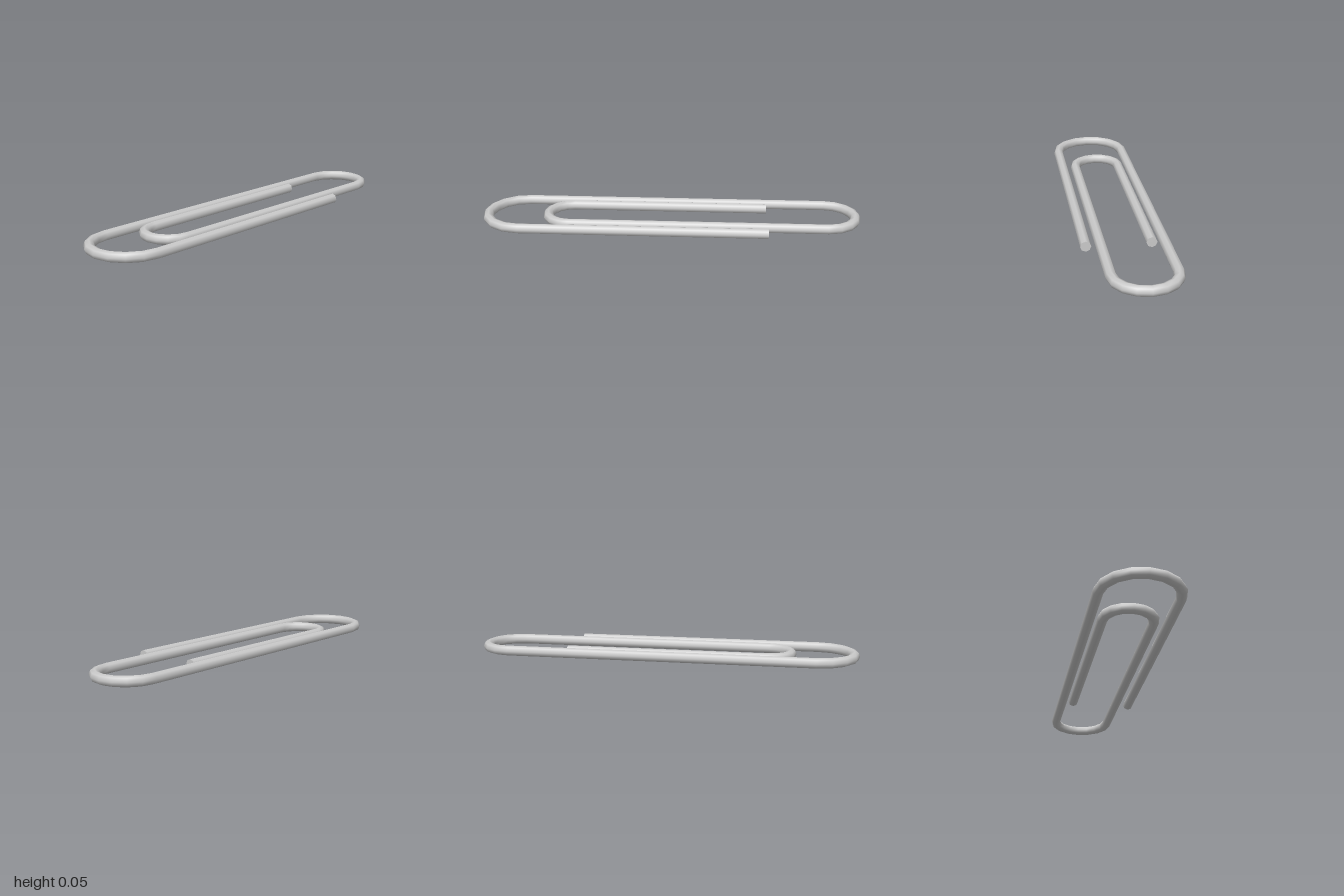
import * as THREE from 'three';

const WIRE = 0.0267;   // wire radius
const SIDES = 8;       // sides of the wire section
const STEPS = 8;       // segments per half-turn bend
const END_X = 0.507;   // where both free ends stop

// Half-turn bends in order along the wire: centre x, centre z, radius, start angle
const BENDS = [
  [-0.782, -0.0015, 0.1915, Math.PI / 2],
  [0.8185, -0.038, 0.155, Math.PI * 1.5],
  [-0.529, -0.007, 0.124, Math.PI / 2],
];

// Stations along the centre line; angle gives the sideways direction of the section
function wireStations() {
  const stations = [];
  for (const [cx, cz, r, start] of BENDS) {
    for (let i = 0; i <= STEPS; i++) {
      const angle = start + (Math.PI * i) / STEPS;
      stations.push({ x: cx + r * Math.cos(angle), z: cz + r * Math.sin(angle), angle });
    }
  }
  const first = stations[0], last = stations[stations.length - 1];
  return [{ ...first, x: END_X }, ...stations, { ...last, x: END_X }];
}

// Sweep the round section along the stations
function sweepWire(stations) {
  const positions = [], normals = [], index = [];
  const row = SIDES + 1;
  stations.forEach(({ x, z, angle }, i) => {
    for (let j = 0; j <= SIDES; j++) {
      const phi = (j / SIDES) * Math.PI * 2;
      const nx = Math.cos(phi) * Math.cos(angle);
      const ny = Math.sin(phi);
      const nz = Math.cos(phi) * Math.sin(angle);
      positions.push(x + WIRE * nx, WIRE + WIRE * ny, z + WIRE * nz);
      normals.push(nx, ny, nz);
      if (i < stations.length - 1 && j < SIDES) {
        const a = i * row + j, b = a + row;
        index.push(a, a + 1, b, b, a + 1, b + 1);
      }
    }
  });
  const geometry = new THREE.BufferGeometry();
  geometry.setAttribute('position', new THREE.Float32BufferAttribute(positions, 3));
  geometry.setAttribute('normal', new THREE.Float32BufferAttribute(normals, 3));
  geometry.setIndex(index);
  return geometry;
}

export function createModel() {
  const group = new THREE.Group();
  group.name = 'paperClip';
  const material = new THREE.MeshStandardMaterial({ color: 0xcccccc });

  const stations = wireStations();
  const wire = new THREE.Mesh(sweepWire(stations), material);
  wire.name = 'bentWire';
  group.add(wire);

  // Flat cut faces on the two free ends, both facing +x
  const capGeometry = new THREE.CircleGeometry(WIRE, SIDES).rotateY(Math.PI / 2);
  [['outerWireEnd', stations[0]], ['innerWireEnd', stations[stations.length - 1]]].forEach(([name, s]) => {
    const cap = new THREE.Mesh(capGeometry, material);
    cap.name = name;
    cap.position.set(s.x, WIRE, s.z);
    group.add(cap);
  });
  return group;
}
